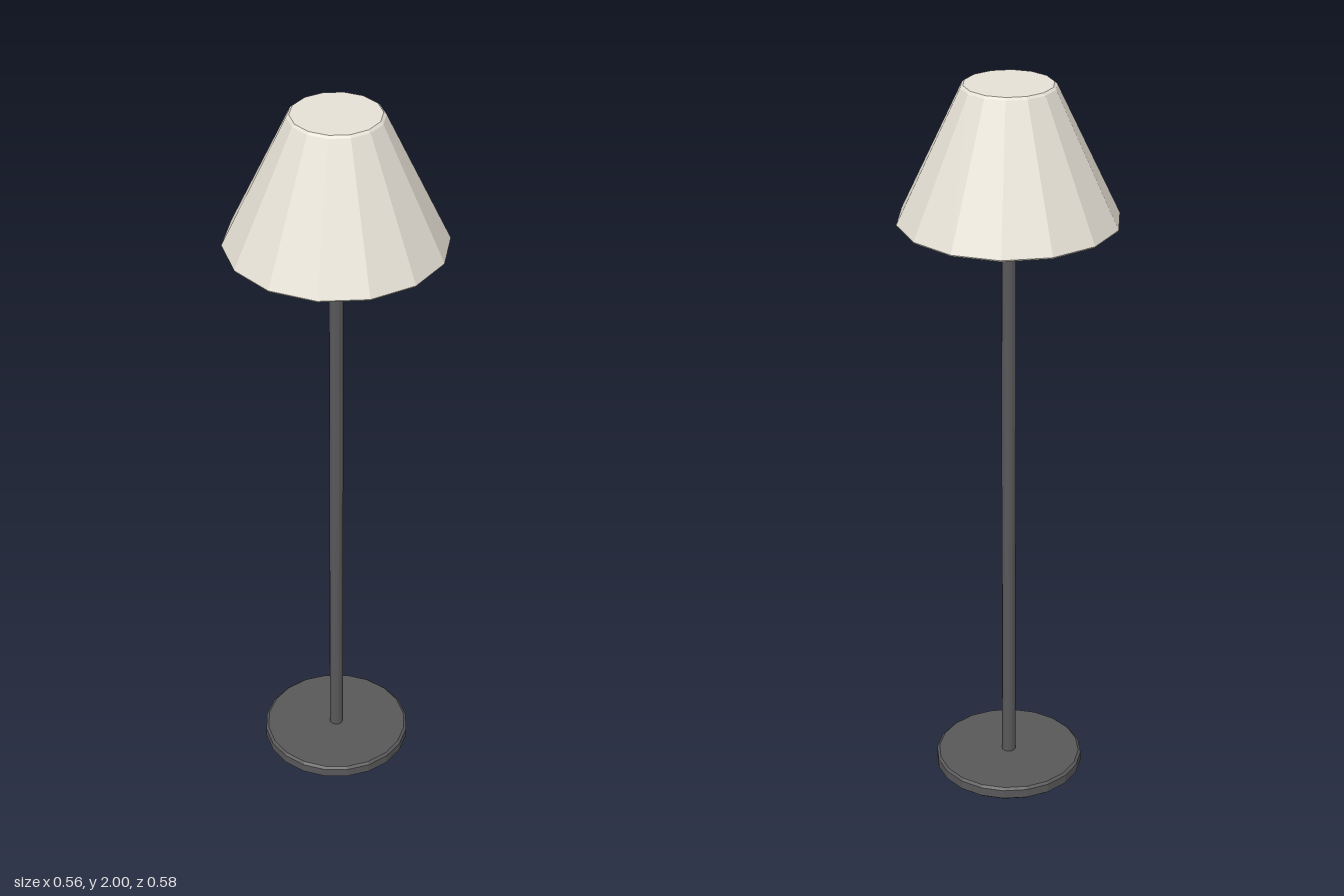
import * as THREE from 'three';

// Closed, faceted solid turned around the y axis; profile runs bottom to top as [radius, height]
function turned(name, profile, sides, color) {
  const points = profile.map(([r, y]) => new THREE.Vector2(r, y));
  const material = new THREE.MeshStandardMaterial({ color, flatShading: true });
  const mesh = new THREE.Mesh(new THREE.LatheGeometry(points, sides), material);
  mesh.name = name;
  return mesh;
}

export function createModel() {
  const model = new THREE.Group();
  model.name = 'floorLamp';
  const metal = 0x58585a;
  const fabric = 0xe6e1d6;

  // Round foot with softened rims
  model.add(turned('base', [[0, 0], [0.198, 0], [0.205, 0.006], [0.205, 0.031], [0.198, 0.037], [0, 0.037]], 20, metal));

  // Slim upright, ending inside the shade
  model.add(turned('pole', [[0, 0.03], [0.019, 0.03], [0.019, 1.66], [0, 1.66]], 12, metal));

  // Fourteen-sided tapered shade, closed at both ends, with a small bevel at the top
  model.add(turned('shade', [[0, 1.64], [0.286, 1.64], [0.288, 1.644], [0.122, 1.994], [0.115, 2], [0, 2]], 14, fabric));

  return model;
}
